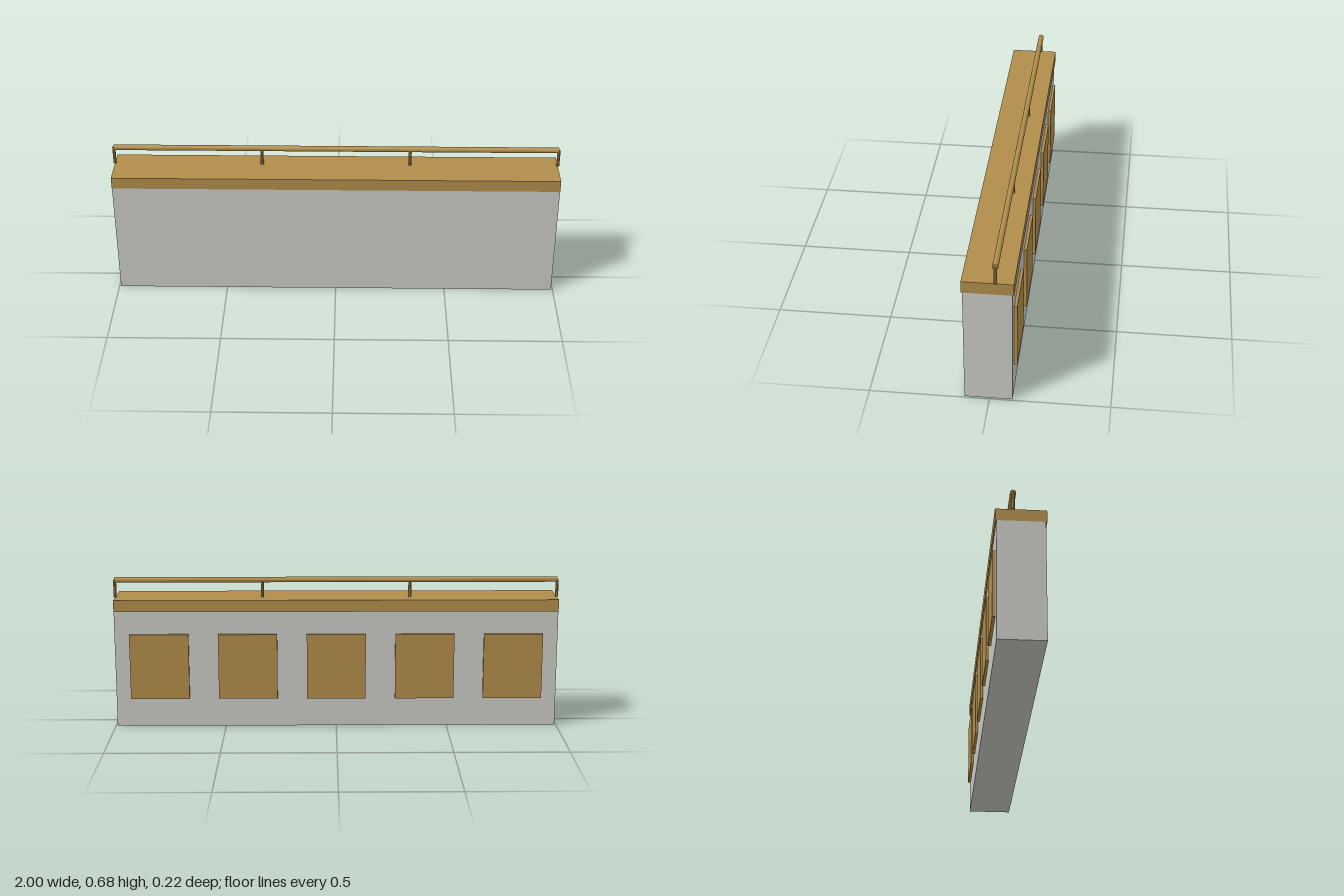
import * as THREE from 'three';

export function createModel() {
  const model = new THREE.Group();
  model.name = 'counter';

  const gold = new THREE.MeshStandardMaterial({ color: 0xb08d4a });
  gold.name = 'gold wood';
  const grey = new THREE.MeshStandardMaterial({ color: 0xc9c9c4 });
  grey.name = 'pale grey';
  // faceted copy of the same wood for the round bars
  const goldBar = gold.clone();
  goldBar.flatShading = true;

  const length = 1.986;

  function add(name, geometry, material, x, y, z) {
    const mesh = new THREE.Mesh(geometry, material);
    mesh.name = name;
    mesh.position.set(x, y, z);
    model.add(mesh);
    return mesh;
  }

  // Body and overhanging top
  add('body', new THREE.BoxGeometry(length, 0.53, 0.199), grey, 0, 0.265, 0.0045);
  add('top', new THREE.BoxGeometry(length, 0.053, 0.211), gold, 0, 0.5565, 0.0035);

  // Raised panels along the back
  const pitch = length / 5;
  const panel = new THREE.BoxGeometry(pitch * 2 / 3, 0.297, 0.013);
  for (let i = -2; i <= 2; i++) add('backPanel', panel, gold, i * pitch, 0.2785, -0.1015);

  // Rail on four posts
  const railY = 0.6625, railZ = -0.0285;
  const rail = add('rail', new THREE.CylinderGeometry(0.0125, 0.0125, length, 12), goldBar, 0, railY, railZ);
  rail.rotation.z = Math.PI / 2;
  const postHeight = railY - 0.583;
  const post = new THREE.CylinderGeometry(0.007, 0.007, postHeight, 8);
  for (let i = 0; i < 4; i++) {
    add('railPost', post, goldBar, (i / 3 - 0.5) * length, 0.583 + postHeight / 2, railZ);
  }

  return model;
}
